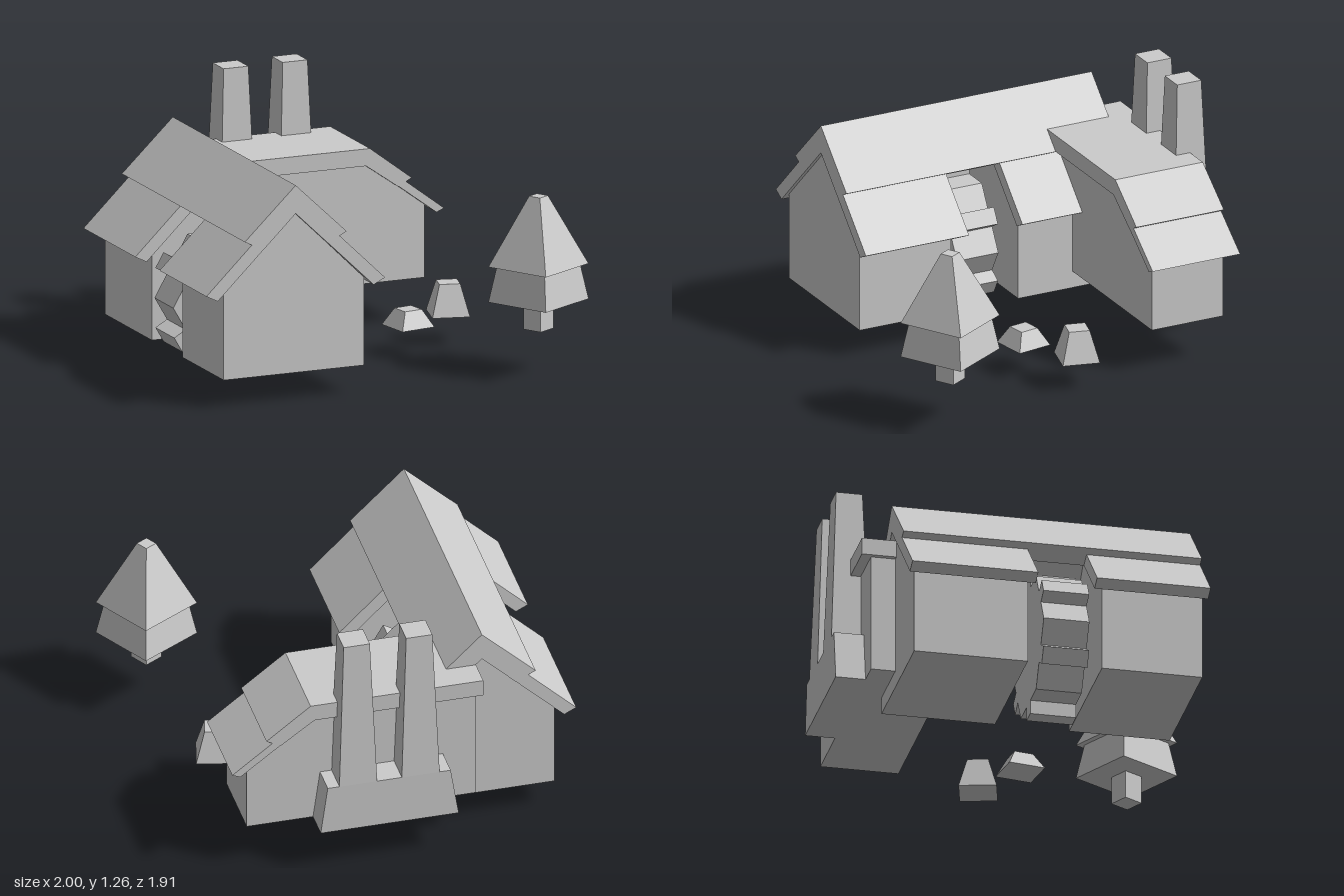
import * as THREE from 'three';

const material = new THREE.MeshStandardMaterial({ color: 0xcccccc, flatShading: true });

function addMesh(parent, name, geometry) {
  const mesh = new THREE.Mesh(geometry, material);
  mesh.name = name;
  parent.add(mesh);
  return mesh;
}

// Outline in x,y pushed along z from z0 to z1
function prism(parent, name, points, z0, z1) {
  const shape = new THREE.Shape(points.map(([x, y]) => new THREE.Vector2(x, y)));
  const geometry = new THREE.ExtrudeGeometry(shape, { depth: z1 - z0, bevelEnabled: false });
  geometry.translate(0, 0, z0);
  return addMesh(parent, name, geometry);
}

// Four-sided tapered block, radii measured to the corners
function taper(parent, name, rTop, rBottom, y0, y1, x, z, angle) {
  const mesh = addMesh(parent, name, new THREE.CylinderGeometry(rTop, rBottom, y1 - y0, 4));
  mesh.position.set(x, (y0 + y1) / 2, z);
  mesh.rotation.y = angle;
  return mesh;
}

function group(parent, name) {
  const g = new THREE.Group();
  g.name = name;
  parent.add(g);
  return g;
}

// Long gabled house in two halves, with the wheel running between them
function buildMillHouse(root) {
  const house = group(root, 'millHouse');
  const cx = -0.53;
  const body = [[-0.37, 0.14], [0.367, 0.14], [0.367, 0.578], [0, 0.937], [-0.37, 0.578]]
    .map(([x, y]) => [cx + x, y]);
  prism(house, 'frontWalls', body, 0.235, 0.73);
  prism(house, 'backWalls', body, -0.69, -0.13);

  // Upper roof spans the whole length
  prism(house, 'upperRoof', [[0, 1.075], [-0.268, 0.82], [-0.17, 0.771], [0, 0.935],
    [0.17, 0.771], [0.268, 0.82]].map(([x, y]) => [cx + x, y]), -0.72, 0.75);

  // Lower eaves on both sides leave a gap for the wheel
  for (const s of [-1, 1]) {
    const eave = [[0.47, 0.57], [0.41, 0.54], [0.12, 0.82], [0.16, 0.87]]
      .map(([x, y]) => [cx + s * x, y]);
    prism(house, 'frontEave', eave, 0.19, 0.75);
    prism(house, 'backEave', eave, -0.72, -0.10);
  }
}

// Six-sided wheel with one paddle on each flat
function buildWheel(root) {
  const wheel = group(root, 'waterWheel');
  wheel.position.set(-0.572, 0.37, 0.057);
  const depth = 0.225, apothem = 0.3;
  const drum = new THREE.CylinderGeometry(apothem / Math.cos(Math.PI / 6), apothem / Math.cos(Math.PI / 6), depth, 6);
  drum.rotateY(Math.PI / 2).rotateX(Math.PI / 2);
  addMesh(wheel, 'wheelDrum', drum);
  for (let i = 0; i < 6; i++) {
    const paddle = new THREE.BoxGeometry(0.085, 0.09, depth);
    paddle.translate(0, apothem + 0.025, 0).rotateZ(i * Math.PI / 3);
    addMesh(wheel, 'paddle', paddle);
  }
}

// Side wing with a flat ridge, sloping at its outer end
function buildWing(root) {
  const wing = group(root, 'sideWing');
  prism(wing, 'wingWalls', [[-0.475, 0.225], [0.665, 0.225], [0.665, 0.59],
    [0.355, 0.82], [-0.475, 0.82]], -0.81, -0.425);
  prism(wing, 'wingRoof', [[-0.5, 0.82], [0.34, 0.82], [0.51, 0.70],
    [0.58, 0.738], [0.36, 0.905], [-0.5, 0.905]], -0.86, -0.385);
  prism(wing, 'wingEave', [[0.71, 0.553], [0.75, 0.57], [0.48, 0.775], [0.46, 0.74]], -0.86, -0.385);
}

// Shared sloping base with two tapered stacks behind the wing
function buildChimneys(root) {
  const chimneys = group(root, 'chimneys');
  prism(chimneys, 'chimneyBase', [[-0.352, 0.225], [0.335, 0.225], [0.3, 0.48], [-0.312, 0.48]],
    -0.957, -0.8);
  for (const x of [-0.163, 0.148])
    taper(chimneys, 'chimneyStack', 0.065 * Math.SQRT2, 0.094 * Math.SQRT2, 0.48, 1.265,
      x, -0.863, Math.PI / 4);
}

function buildTree(root) {
  const tree = group(root, 'tree');
  const x = 0.76, z = 0.72, angle = 1.302;
  taper(tree, 'trunk', 0.073, 0.073, 0.225, 0.37, x, z, angle);
  taper(tree, 'lowerFoliage', 0.203, 0.244, 0.365, 0.54, x, z, angle);
  taper(tree, 'upperFoliage', 0.046, 0.244, 0.54, 0.885, x, z, angle);
}

export function createModel() {
  const root = new THREE.Group();
  root.name = 'waterMill';
  buildMillHouse(root);
  buildWheel(root);
  buildWing(root);
  buildChimneys(root);
  buildTree(root);
  taper(root, 'lowRock', 0.067, 0.13, 0.14, 0.225, 0.345, 0.105, 0.95);
  taper(root, 'tallRock', 0.072, 0.13, 0.14, 0.297, 0.62, -0.042, 0.54);
  return root;
}
